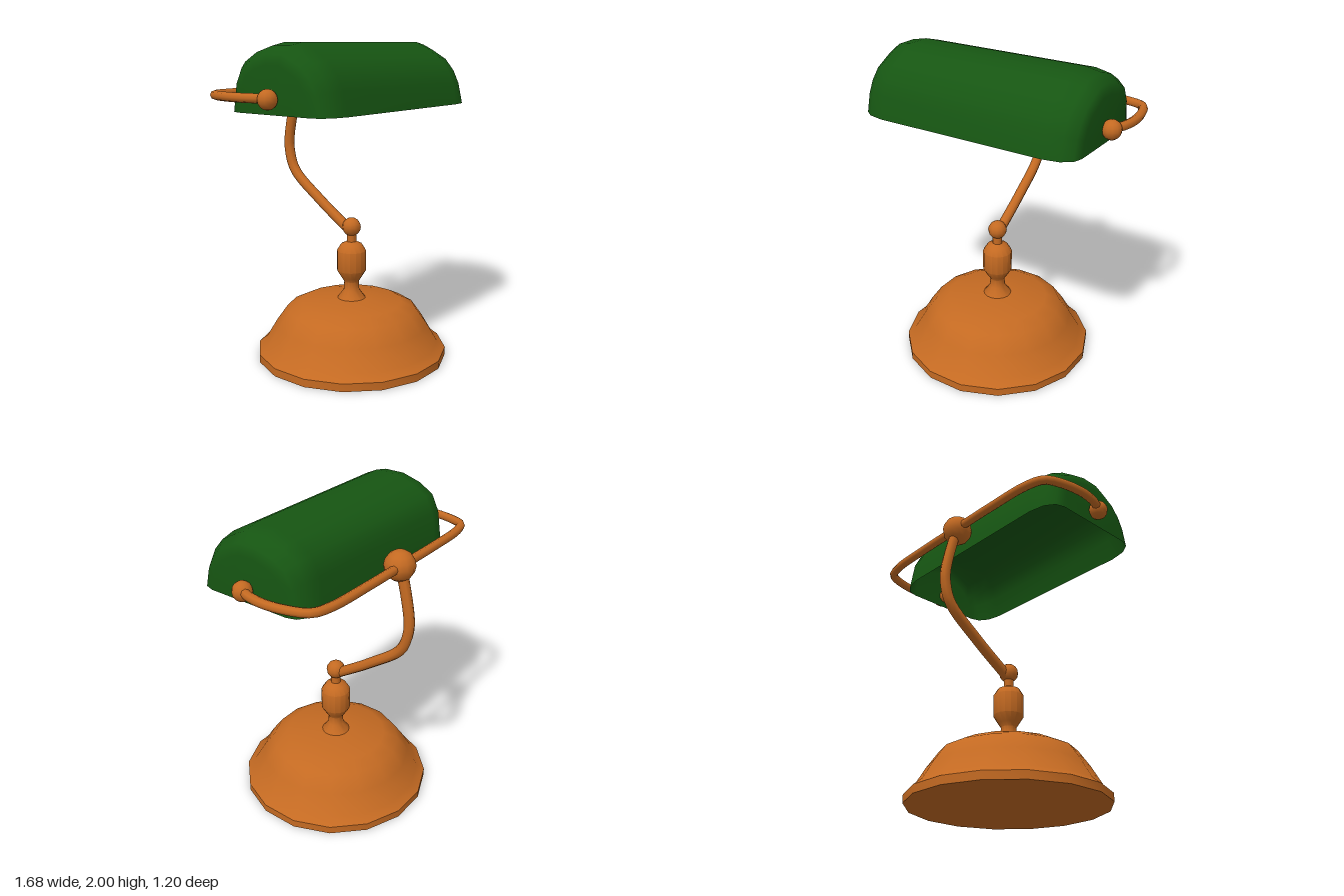
import * as THREE from 'three';
import { toCreasedNormals } from 'three/addons/utils/BufferGeometryUtils.js';

const brass = new THREE.MeshStandardMaterial({ color: 0xc46a22 });
const green = new THREE.MeshStandardMaterial({ color: 0x165512, side: THREE.DoubleSide });

function add(parent, name, geometry, material = brass) {
  const mesh = new THREE.Mesh(geometry, material);
  mesh.name = name;
  parent.add(mesh);
  return mesh;
}

// Turned part from [radius, height] pairs; the flats face the main axes
function turned(profile, sides) {
  const pts = profile.map(([r, y]) => new THREE.Vector2(r / Math.cos(Math.PI / sides), y));
  return toCreasedNormals(new THREE.LatheGeometry(pts, sides, Math.PI / sides), 0.65);
}

function rod(points, radius, segments) {
  const curve = new THREE.CatmullRomCurve3(points.map(p => new THREE.Vector3(...p)));
  return new THREE.TubeGeometry(curve, segments, radius, 8);
}

function ball(parent, name, radius, x, y, z) {
  add(parent, name, new THREE.SphereGeometry(radius, 12, 8)).position.set(x, y, z);
}

// Open-bottomed trough: one arched section lofted along x, shrinking at the ends
function shadeGeometry() {
  const arch = [[0.42, 1.61], [0.387, 1.745], [0.345, 1.83], [0.28, 1.905], [0.17, 1.967], [0.1, 2],
    [-0.037, 2], [-0.164, 1.963], [-0.265, 1.905], [-0.318, 1.8], [-0.35, 1.61]];
  const half = [[0.55, 1], [0.65, 0.95], [0.709, 0.84], [0.727, 0.69], [0.727, 0]];
  const rings = [...half.map(([x, s]) => [-x, s]).reverse(), ...half];
  const cz = 0.03, cy = 1.61, n = arch.length;
  const position = [], index = [];
  rings.forEach(([x, s], i) => {
    arch.forEach(([z, y], j) => {
      position.push(x, cy + (y - cy) * s, cz + (z - cz) * s);
      if (i < rings.length - 1 && j < n - 1) {
        const a = i * n + j, b = a + n;
        if (i < rings.length - 2) index.push(a, b, a + 1);
        else index.push(a, b, a + 1);
        if (i > 0) index.push(b, b + 1, a + 1);
        else index.push(b, b + 1, a);
      }
    });
  });
  const g = new THREE.BufferGeometry();
  g.setAttribute('position', new THREE.Float32BufferAttribute(position, 3));
  g.setIndex(index);
  g.computeVertexNormals();
  return g;
}

export function createModel() {
  const lamp = new THREE.Group();
  lamp.name = 'deskLamp';

  // Domed foot and turned stem
  add(lamp, 'base', turned([[0, 0], [0.6, 0], [0.6, 0.05], [0.55, 0.09], [0.48, 0.21],
    [0.41, 0.31], [0.32, 0.355], [0.09, 0.375], [0, 0.376]], 16));
  add(lamp, 'stem', turned([[0.092, 0.37], [0.05, 0.43], [0.046, 0.485], [0.062, 0.51], [0.092, 0.56],
    [0.092, 0.69], [0.066, 0.733], [0.03, 0.75], [0.03, 0.82]], 16));
  ball(lamp, 'lowerJoint', 0.06, 0, 0.845, 0);

  // Bent arm rising behind the shade
  add(lamp, 'arm', rod([[0, 0.825, -0.02], [0, 0.99, -0.265], [0, 1.167, -0.483], [0, 1.297, -0.528],
    [0, 1.385, -0.528], [0, 1.634, -0.473], [0, 1.7, -0.45]], 0.033, 28));
  ball(lamp, 'upperJoint', 0.093, 0, 1.7, -0.448);

  // Yoke that wraps round to both ends of the shade
  const side = [[0.32, -0.462], [0.635, -0.45], [0.74, -0.413], [0.79, -0.305],
    [0.812, -0.15], [0.79, -0.02], [0.76, 0.03]];
  const path = [...side.map(([x, z]) => [-x, 1.703, z]).reverse(), [0, 1.703, -0.462],
    ...side.map(([x, z]) => [x, 1.703, z])];
  add(lamp, 'yoke', rod(path, 0.027, 64));
  for (const s of [-1, 1]) {
    ball(lamp, s > 0 ? 'leftPivot' : 'rightPivot', 0.058, s * 0.763, 1.697, 0.032);
  }

  add(lamp, 'shade', shadeGeometry(), green);
  return lamp;
}
